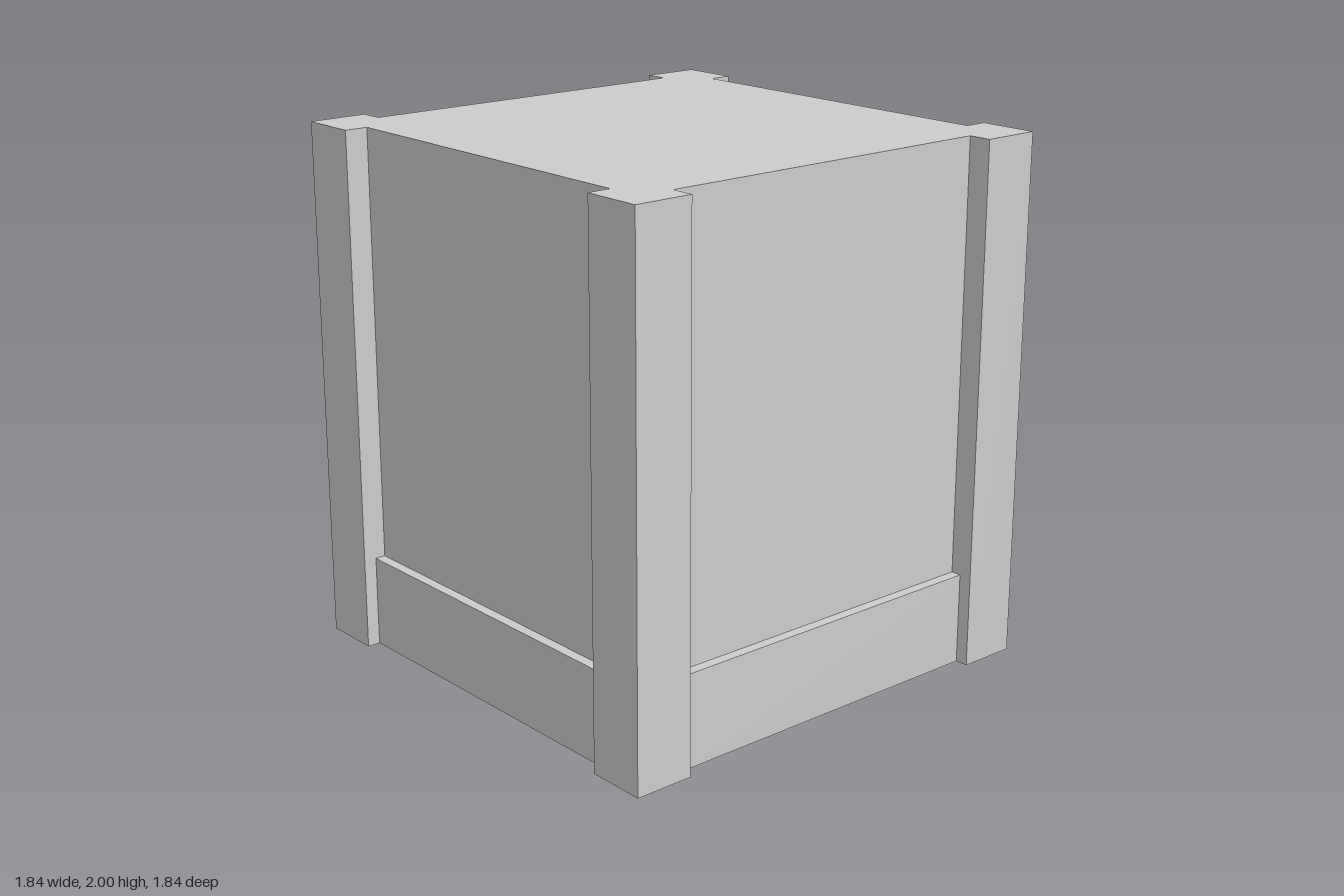
import * as THREE from 'three';
import { toCreasedNormals } from 'three/addons/utils/BufferGeometryUtils.js';

const material = new THREE.MeshStandardMaterial({ color: 0xcccccc });

function add(group, name, geometry, x, y, z) {
  const mesh = new THREE.Mesh(geometry, material);
  mesh.name = name;
  mesh.position.set(x, y, z);
  group.add(mesh);
  return mesh;
}

const box = (group, name, w, h, d, x, y, z) =>
  add(group, name, new THREE.BoxGeometry(w, h, d), x, y + h / 2, z);

// Pointed arch outline: straight jambs, then two arcs meeting at the apex
function traceArch(path, half, bottom, spring, apex) {
  const rise = apex - spring;
  const r = (half * half + rise * rise) / (2 * half);
  const end = Math.atan2(rise, r - half);
  path.moveTo(-half, bottom);
  path.lineTo(half, bottom);
  path.lineTo(half, spring);
  path.absarc(half - r, spring, r, 0, end, false);
  path.absarc(r - half, spring, r, Math.PI - end, Math.PI, false);
  path.lineTo(-half, bottom);
  return path;
}

// Extrude an upright outline outwards along +x
function extrudeToSide(shape, depth) {
  const geometry = new THREE.ExtrudeGeometry(shape, { depth, bevelEnabled: false, curveSegments: 16 });
  geometry.rotateY(Math.PI / 2);
  return toCreasedNormals(geometry, 0.5);
}

export function createModel() {
  const group = new THREE.Group();
  group.name = 'towerRoom';

  // Main walls
  box(group, 'walls', 1.66, 2, 1.66, 0, 0, 0);

  // Corner pillars
  for (const sx of [-1, 1])
    for (const sz of [-1, 1])
      box(group, 'cornerPillar', 0.23, 2, 0.23, sx * 0.805, 0, sz * 0.805);

  // Plinth boards; the +x side is split around the doorway
  for (const s of [-1, 1]) {
    box(group, 'plinth', 1.38, 0.35, 0.04, 0, 0, s * 0.85);
    box(group, 'doorSidePlinth', 0.04, 0.35, 0.335, 0.85, 0, s * 0.5225);
  }
  box(group, 'plinth', 0.04, 0.35, 1.38, -0.85, 0, 0);

  // Doorway: arched frame, recessed leaf and cross rail
  const door = new THREE.Group();
  door.name = 'doorway';
  const frame = traceArch(new THREE.Shape(), 0.355, 0, 0.6, 1.2);
  frame.holes.push(traceArch(new THREE.Path(), 0.265, 0.1, 0.6, 1.1));
  add(door, 'doorFrame', extrudeToSide(frame, 0.09), 0.83, 0, 0);
  const leaf = traceArch(new THREE.Shape(), 0.265, 0.1, 0.6, 1.1);
  add(door, 'doorLeaf', extrudeToSide(leaf, 0.04), 0.83, 0, 0);
  box(door, 'doorRail', 0.03, 0.145, 0.53, 0.88, 0.455, 0);
  group.add(door);

  return group;
}
